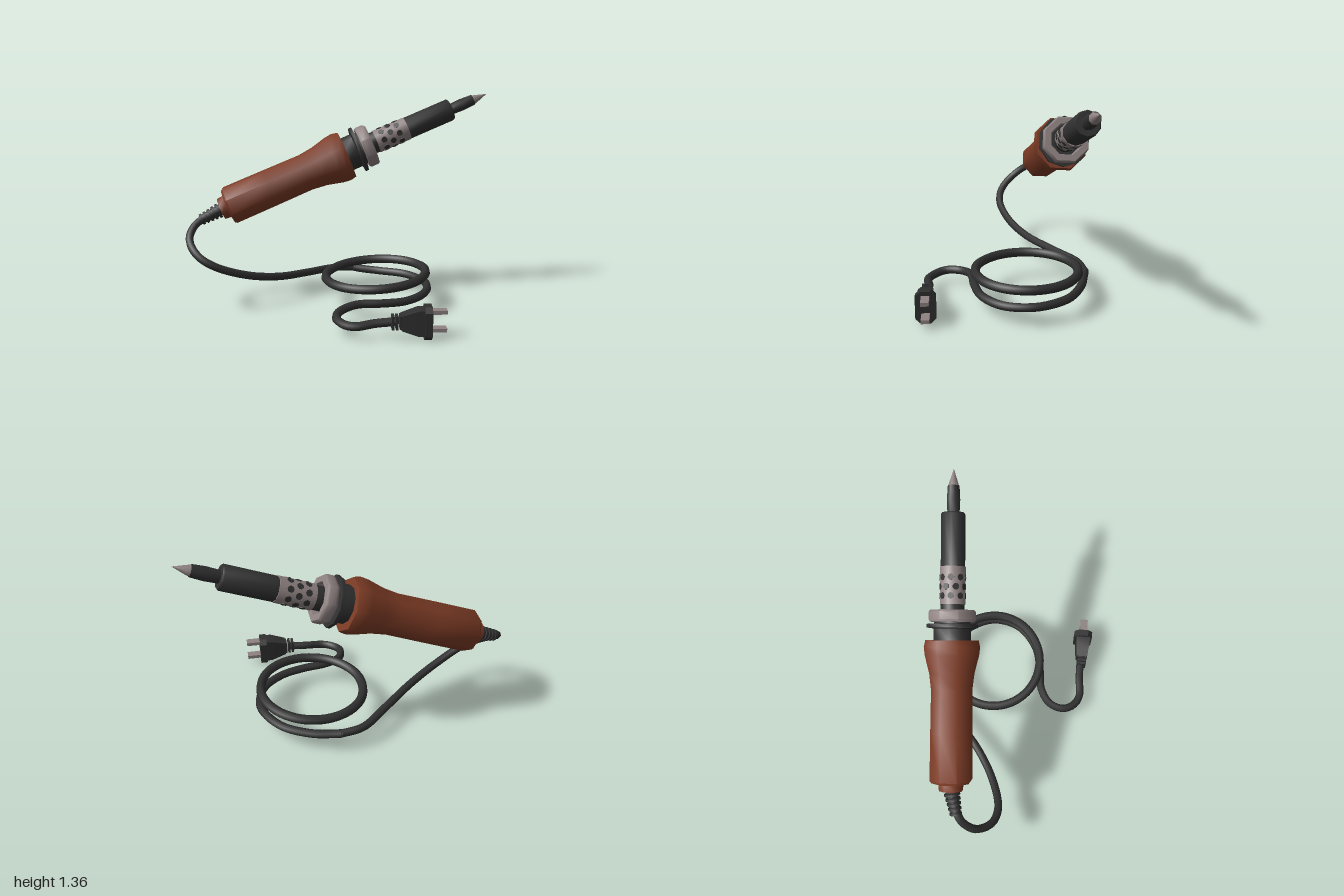
import * as THREE from 'three';
import { toCreasedNormals } from 'three/addons/utils/BufferGeometryUtils.js';

export function createModel() {
  const model = new THREE.Group();
  const material = (name, color) => {
    const m = new THREE.MeshStandardMaterial({ color });
    m.name = name;
    return m;
  };
  const brown = material('brown grip', 0x7c3b25);
  const dark = material('dark rubber', 0x303030);
  const metal = material('warm grey metal', 0x8f8282);
  const UP = new THREE.Vector3(0, 1, 0);
  const V = (a) => new THREE.Vector3(...a);

  const add = (parent, name, geometry, mat) => {
    const mesh = new THREE.Mesh(geometry, mat);
    mesh.name = name;
    parent.add(mesh);
    return mesh;
  };
  // Turned part from [radius, height] pairs
  const turned = (parent, name, profile, sides, mat) => {
    const pts = profile.map(([r, y]) => new THREE.Vector2(r, y));
    const g = new THREE.LatheGeometry(pts, sides, Math.PI / sides);
    return add(parent, name, toCreasedNormals(g, 0.85), mat);
  };
  const cable = (name, points, radius, closed = false) => {
    const curve = new THREE.CatmullRomCurve3(points.map(V), closed, 'centripetal');
    return add(model, name, new THREE.TubeGeometry(curve, points.length * 5, radius, 7, closed), dark);
  };

  // Iron: built upright along y, then tilted onto its axis
  const iron = new THREE.Group();
  iron.name = 'iron';
  iron.position.set(-0.73, 0.635, -0.29);
  iron.quaternion.setFromUnitVectors(UP, new THREE.Vector3(1.73, 0.725, -0.13).normalize());
  model.add(iron);

  turned(iron, 'handle', [[0, -0.05], [0.075, -0.05], [0.08, 0], [0.122, 0], [0.133, 0.015],
    [0.131, 0.3], [0.128, 0.56], [0.14, 0.66], [0.168, 0.77], [0.174, 0.82], [0.165, 0.86], [0, 0.86]], 8, brown);
  turned(iron, 'neck', [[0.115, 0.85], [0.115, 0.93], [0.155, 0.935], [0.155, 0.957],
    [0.11, 0.96], [0.11, 1.0], [0, 1.0]], 10, dark);
  turned(iron, 'collar', [[0.1, 0.97], [0.138, 0.97], [0.146, 0.985], [0.146, 1.03], [0.138, 1.042],
    [0.1, 1.042], [0.09, 0.99]], 8, metal);
  turned(iron, 'barrelBase', [[0.072, 0.99], [0.072, 1.09]], 16, dark);
  turned(iron, 'ventSleeve', [[0.06, 1.075], [0.077, 1.075], [0.077, 1.3], [0.06, 1.3]], 16, metal);
  turned(iron, 'barrel', [[0.074, 1.29], [0.074, 1.61], [0.068, 1.62], [0, 1.62]], 10, dark);
  turned(iron, 'tipRod', [[0.037, 1.61], [0.041, 1.7], [0.036, 1.78], [0, 1.78]], 8, dark);
  turned(iron, 'tip', [[0, 1.775], [0.034, 1.775], [0.027, 1.8], [0, 1.88]], 8, metal);

  // Staggered vent holes around the sleeve
  const vent = new THREE.CylinderGeometry(0.02, 0.02, 0.009, 8);
  for (let row = 0; row < 3; row++) {
    for (let i = 0; i < 8; i++) {
      const a = ((i * 2 + (row % 2)) * Math.PI) / 8;
      const dir = new THREE.Vector3(Math.sin(a), 0, Math.cos(a));
      const hole = add(iron, 'ventHole', vent, dark);
      hole.quaternion.setFromUnitVectors(UP, dir);
      hole.position.copy(dir).multiplyScalar(0.0735).setY(1.125 + row * 0.055);
    }
  }

  // Ribbed strain relief behind the handle
  const from = V([-0.77, 0.615, -0.285]), to = V([-0.91, 0.55, -0.245]);
  const along = to.clone().sub(from).normalize();
  const relief = new THREE.Group();
  relief.name = 'strainRelief';
  relief.position.copy(from);
  relief.quaternion.setFromUnitVectors(UP, along);
  model.add(relief);
  turned(relief, 'reliefCore', [[0.04, 0], [0.03, 0.16], [0, 0.16]], 8, dark);
  for (let i = 0; i < 5; i++) {
    const r = 0.05 - i * 0.003, y = 0.02 + i * 0.03;
    turned(relief, 'reliefRib', [[0, y], [r, y], [r, y + 0.016], [0, y + 0.016]], 8, dark);
  }

  // Cord from the handle, past the lower coil and out to the plug
  cable('cord', [[-0.87, 0.57, -0.255], [-0.94, 0.525, -0.21], [-0.97, 0.45, -0.12], [-0.91, 0.37, -0.03],
    [-0.8, 0.305, 0], [-0.6, 0.225, -0.06], [-0.4, 0.175, -0.175], [-0.2, 0.15, -0.34], [-0.02, 0.135, -0.485],
    [0.13, 0.13, -0.515]], 0.026);
  cable('lowerCoil', [[0.11, 0.13, -0.515], [0.17, 0.122, -0.5], [0.3, 0.115, -0.465], [0.48, 0.12, -0.365],
    [0.585, 0.122, -0.17], [0.55, 0.115, 0.02], [0.41, 0.11, 0.15], [0.25, 0.113, 0.195], [0.1, 0.115, 0.215],
    [0, 0.1, 0.28], [-0.03, 0.09, 0.38], [0.01, 0.08, 0.455], [0.08, 0.08, 0.49], [0.2, 0.095, 0.48],
    [0.32, 0.105, 0.48]], 0.027);
  const ring = [];
  for (let i = 0; i < 16; i++) {
    const a = (i * Math.PI) / 8;
    ring.push([0.245 + 0.33 * Math.cos(a), 0.205 + 0.02 * Math.cos(a), -0.13 + 0.32 * Math.sin(a)]);
  }
  cable('upperCoil', ring, 0.03, true);

  // Plug, facing +x
  const plug = new THREE.Group();
  plug.name = 'plug';
  plug.position.set(0, 0.105, 0.485);
  model.add(plug);
  for (let i = 0; i < 3; i++) {
    const rib = add(plug, 'plugRib', new THREE.BoxGeometry(0.016, 0.082, 0.062), dark);
    rib.position.x = 0.3 + i * 0.024;
  }
  // Flared body: the far end of a box is widened
  const bodyGeo = new THREE.BoxGeometry(0.15, 0.09, 0.075, 3);
  const p = bodyGeo.attributes.position;
  for (let i = 0; i < p.count; i++) {
    const k = Math.min(1, Math.max(0, (p.getX(i) + 0.075) / 0.1));
    p.setY(i, p.getY(i) * (1 + 0.75 * k));
    p.setZ(i, p.getZ(i) * (1 + 0.25 * k));
  }
  add(plug, 'plugBody', toCreasedNormals(bodyGeo, 0.5), dark).position.x = 0.425;
  // Chamfered face plate
  const w = 0.062, h = 0.102, c = 0.03;
  const plate = new THREE.Shape([[w, h - c], [w - c, h], [c - w, h], [-w, h - c], [-w, c - h],
    [c - w, -h], [w - c, -h], [w, c - h]].map(([x, y]) => new THREE.Vector2(x, y)));
  const face = add(plug, 'plugFace', new THREE.ExtrudeGeometry(plate, { depth: 0.045, bevelEnabled: false }), dark);
  face.rotation.y = Math.PI / 2;
  face.position.set(0.485, -0.003, 0);
  for (const y of [-0.05, 0.062]) {
    add(plug, 'prong', new THREE.BoxGeometry(0.1, 0.024, 0.05), metal).position.set(0.57, y, 0);
  }
  return model;
}
